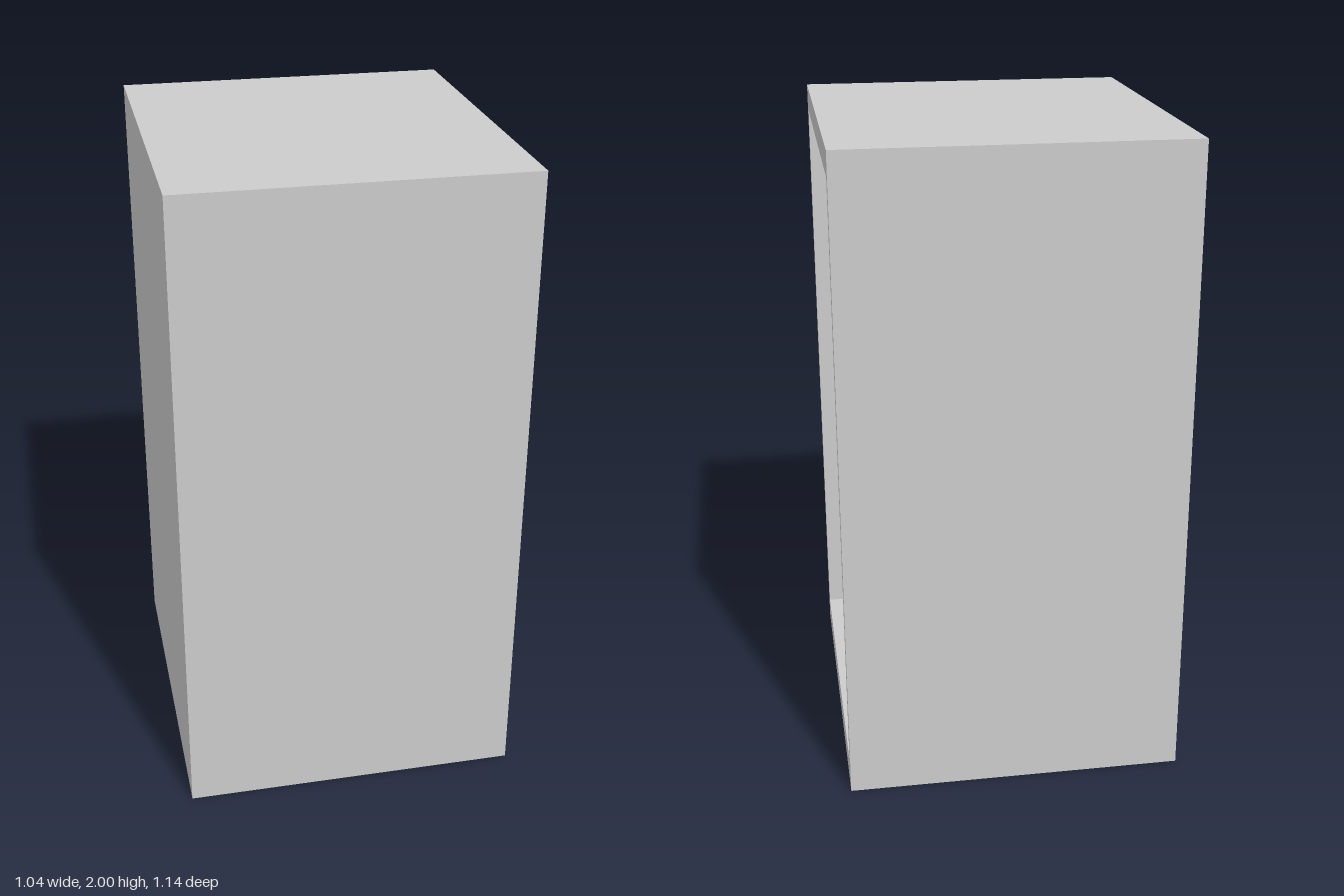
import * as THREE from 'three';

const grey = new THREE.MeshStandardMaterial({ color: 0xcccccc });
const greyThin = new THREE.MeshStandardMaterial({ color: 0xcccccc, side: THREE.DoubleSide, flatShading: true });
const V = (x, y, z) => new THREE.Vector3(x, y, z);

function add(parent, name, geometry, x = 0, y = 0, z = 0, material = grey) {
  const mesh = new THREE.Mesh(geometry, material);
  mesh.name = name;
  mesh.position.set(x, y, z);
  parent.add(mesh);
  return mesh;
}

// Lathe whose axis points along +x; profile points are [radius, x]
function latheX(profile, segments, arc = Math.PI * 2) {
  const points = profile.map(([r, h]) => new THREE.Vector2(r, h));
  return new THREE.LatheGeometry(points, segments, 0, arc).rotateZ(-Math.PI / 2);
}

// Flat outline in the z-y plane, extruded towards +x
function extrudeX(shape, options) {
  return new THREE.ExtrudeGeometry(shape, options).rotateY(Math.PI / 2);
}

function rect(target, x0, y0, x1, y1) {
  target.moveTo(x0, y0);
  target.lineTo(x1, y0);
  target.lineTo(x1, y1);
  target.lineTo(x0, y1);
  target.closePath();
  return target;
}

// Front surface of the phone body: gently domed, falling back at the ends
function frontX(y, z) {
  const end = Math.max(0, Math.abs(y - 1.02) - 0.53) / 0.15;
  return 0.325 - 0.025 * (z / 0.315) ** 2 - 0.035 * Math.min(end, 1) ** 2;
}

function bodyGeometry(back) {
  const g = new THREE.BoxGeometry(1, 2, 2, 1, 28, 16);
  const p = g.attributes.position;
  for (let i = 0; i < p.count; i++) {
    const t = p.getZ(i);
    const a = Math.abs(t);
    // Half height: low crown in the middle, chamfered corners
    const half = a < 0.75 ? 0.68 - 0.016 * (a / 0.75) ** 2 : 0.664 - 0.055 * (a - 0.75) / 0.25;
    const y = 1.02 + p.getY(i) * half;
    const z = 0.005 + t * 0.315;
    p.setXYZ(i, p.getX(i) > 0 ? frontX(y, z) : back, y, z);
  }
  g.computeVertexNormals();
  return g;
}

export function createModel() {
  const model = new THREE.Group();
  model.name = 'wallPhoneBooth';

  // Cabinet, open towards +x
  const cabinet = new THREE.Group();
  cabinet.name = 'cabinet';
  model.add(cabinet);
  const frame = rect(new THREE.Shape(), -0.57, 0, 0.57, 2);
  frame.holes.push(rect(new THREE.Path(), -0.53, 0.085, 0.53, 1.92));
  add(cabinet, 'cabinetWalls', extrudeX(frame, { depth: 0.96, bevelEnabled: false }), -0.44);
  add(cabinet, 'cabinetBack', new THREE.BoxGeometry(0.08, 2, 1.14), -0.48, 1, 0);

  // Phone body
  const phone = new THREE.Group();
  phone.name = 'phone';
  model.add(phone);
  add(phone, 'phoneBody', bodyGeometry(-0.44));

  // Keypad
  const keypad = new THREE.Group();
  keypad.name = 'keypad';
  phone.add(keypad);
  for (const y of [1.105, 1.022, 0.94, 0.858]) {
    for (const z of [0.102, 0.005, -0.092]) {
      add(keypad, 'key', new THREE.BoxGeometry(0.05, 0.05, 0.048), 0.325, y, z);
    }
  }

  // Rounded pad at the lower right of the face
  const pad = new THREE.Shape();
  pad.absarc(0, 0.095, 0.04, 0, Math.PI);
  pad.absarc(0, -0.095, 0.04, Math.PI, Math.PI * 2);
  pad.closePath();
  add(phone, 'coinReturn', extrudeX(pad, {
    depth: 0.015, bevelThickness: 0.01, bevelSize: 0.018, bevelSegments: 4, curveSegments: 8,
  }), 0.31, 0.635, -0.15);

  // Cradle: flared half ring under the earpiece
  add(phone, 'cradle', latheX(
    [[0.098, 0], [0.122, 0], [0.088, 0.085], [0.07, 0.085], [0.098, 0]], 9, Math.PI,
  ), 0.315, 1.335, 0.002, greyThin);

  // Handset: two cups joined by an oval handle
  const handset = new THREE.Group();
  handset.name = 'handset';
  phone.add(handset);
  const cup = [[0, 0], [0.06, 0], [0.078, 0.012], [0.08, 0.035], [0.072, 0.065], [0.05, 0.09], [0, 0.1]];
  add(handset, 'earpiece', latheX(cup, 24), 0.345, 1.285, 0.005);
  add(handset, 'mouthpiece', latheX(cup, 24), 0.345, 0.918, 0.005);
  const squash = 0.6;
  const handlePath = new THREE.CatmullRomCurve3(
    [[0.385, 1.315], [0.42, 1.29], [0.438, 1.2], [0.442, 1.1], [0.438, 1.0], [0.42, 0.92], [0.385, 0.895]]
      .map(([x, y]) => V(x / squash, y, 0.005)),
  );
  const handle = new THREE.TubeGeometry(handlePath, 32, 0.06, 16).scale(squash, 1, 1);
  handle.computeVertexNormals();
  add(handset, 'handle', handle);

  // Cord hanging from the mouthpiece and hooking under the body
  const cordPath = new THREE.CatmullRomCurve3([
    V(0.4, 0.87, 0.005), V(0.4, 0.8, -0.005), V(0.39, 0.68, -0.015), V(0.38, 0.56, -0.005),
    V(0.37, 0.48, 0.015), V(0.37, 0.4, 0.02), V(0.34, 0.335, 0.045), V(0.28, 0.318, 0.085),
    V(0.24, 0.335, 0.105), V(0.22, 0.38, 0.105),
  ]);
  add(phone, 'cord', new THREE.TubeGeometry(cordPath, 48, 0.015, 8));

  return model;
}
